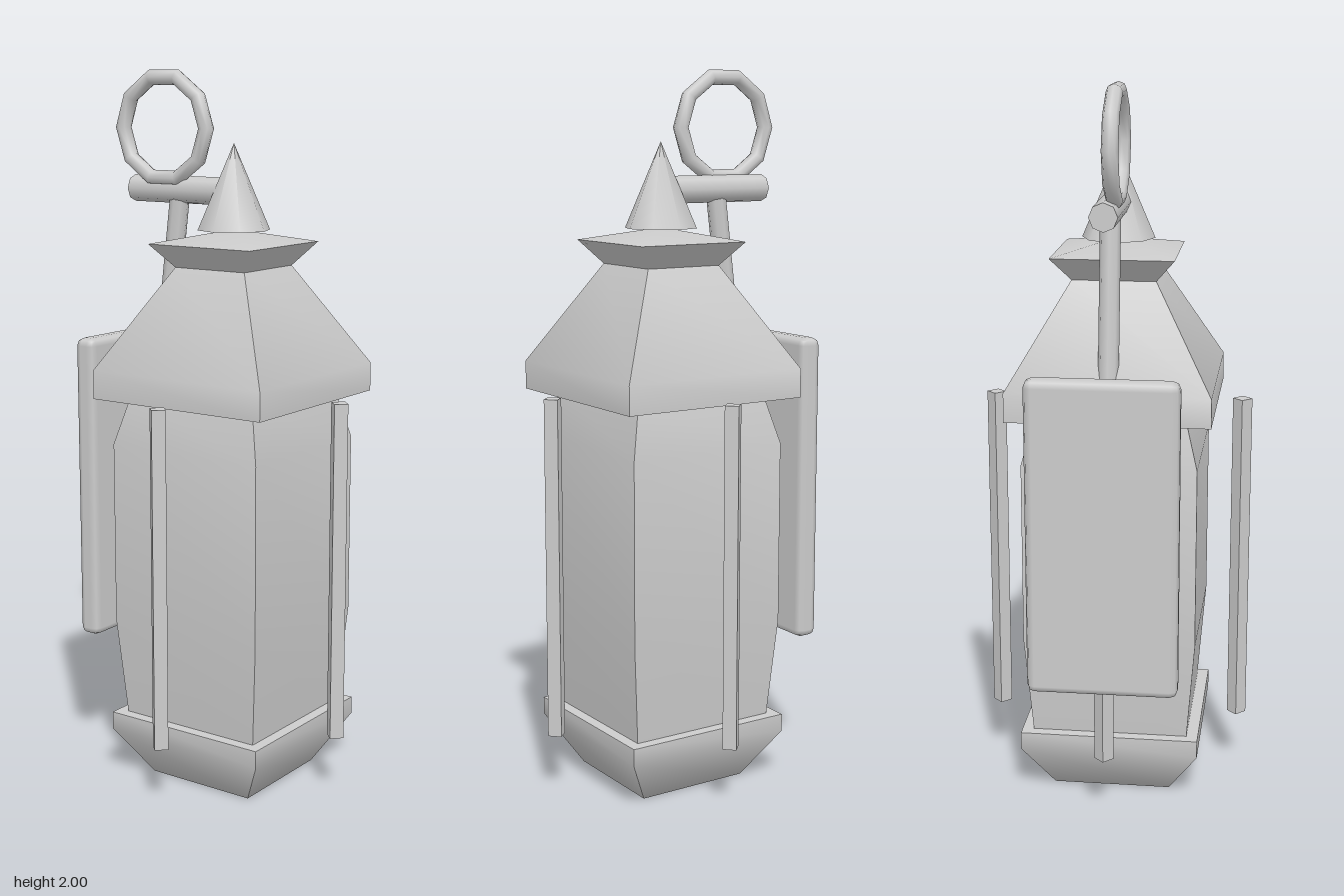
import * as THREE from 'three';
import { toCreasedNormals } from 'three/addons/utils/BufferGeometryUtils.js';
import { RoundedBoxGeometry } from 'three/addons/geometries/RoundedBoxGeometry.js';

const CREASE = 1.2;

export function createModel() {
  const model = new THREE.Group();
  model.name = 'lantern';
  const metal = new THREE.MeshStandardMaterial({ color: 0xcccccc });
  metal.name = 'grey metal';

  function add(name, geometry, parent = model) {
    const mesh = new THREE.Mesh(geometry, metal);
    mesh.name = name;
    parent.add(mesh);
    return mesh;
  }

  // Square stack from [half width, height] pairs, bottom to top
  function squareStack(profile) {
    const points = profile.map(([half, y]) => new THREE.Vector2(half * Math.SQRT2, y));
    const geometry = new THREE.LatheGeometry(points, 4);
    geometry.rotateY(Math.PI / 4);
    return toCreasedNormals(geometry, CREASE);
  }

  // Round rod between two points
  function rod(name, from, to, radius) {
    const a = new THREE.Vector3(...from);
    const b = new THREE.Vector3(...to);
    const dir = b.clone().sub(a);
    const mesh = add(name, new THREE.CylinderGeometry(radius, radius, dir.length(), 8));
    mesh.position.copy(a).add(b).multiplyScalar(0.5);
    mesh.quaternion.setFromUnitVectors(new THREE.Vector3(0, 1, 0), dir.normalize());
    return mesh;
  }

  // Lantern body, slightly forward of centre
  const body = new THREE.Group();
  body.name = 'lanternBody';
  body.position.z = 0.016;
  model.add(body);

  add('base', squareStack([[0, 0], [0.165, 0], [0.25, 0.14], [0.25, 0.19], [0, 0.19]]), body);
  add('panes', squareStack([[0, 0.18], [0.217, 0.18], [0.24, 0.47], [0.24, 0.98], [0.205, 1.115], [0, 1.115]]), body);
  add('roof', squareStack([
    [0, 1.11], [0.278, 1.11], [0.278, 1.19], [0.115, 1.47], [0.168, 1.535], [0, 1.572],
  ]), body);
  add('finial', new THREE.ConeGeometry(0.101, 0.235, 8), body).position.y = 1.6875;

  // Four guard bars, turned to a diamond section
  for (let i = 0; i < 4; i++) {
    const angle = i * Math.PI / 2;
    const bar = add('guardBar', new THREE.BoxGeometry(0.038, 0.95, 0.038), body);
    bar.position.set(Math.sin(angle) * 0.348, 0.65, Math.cos(angle) * 0.348);
    bar.rotation.y = Math.PI / 4;
  }

  // Wall bracket: back plate, brace and arm
  add('backPlate', new RoundedBoxGeometry(0.41, 0.875, 0.066, 1, 0.022))
    .position.set(0, 0.8225, -0.359);
  rod('brace', [0, 1.66, -0.168], [0, 0.513, -0.312], 0.028);
  rod('arm', [0, 1.673, -0.02], [0, 1.673, -0.325], 0.038);

  // Hanging ring
  const ring = add('ring', new THREE.TorusGeometry(0.144, 0.022, 8, 10));
  ring.position.set(-0.02, 1.842, -0.207);
  ring.rotation.y = Math.PI / 2;

  return model;
}
